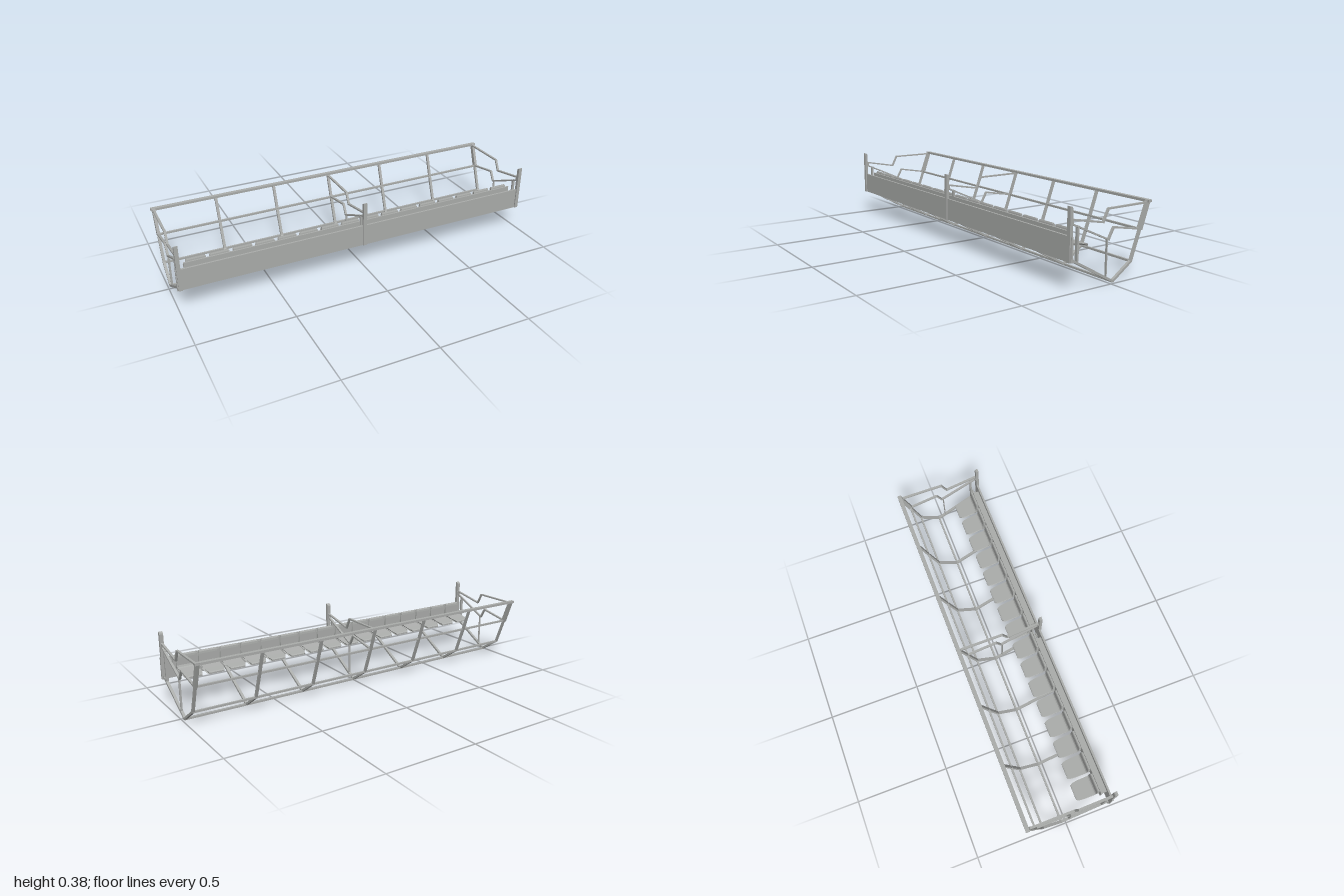
import * as THREE from 'three';

const grey = new THREE.MeshStandardMaterial({ color: 0xabadab });
grey.name = 'painted steel grey';

// Extrude a (z, y) outline along x, centred on x = 0
function slab(outline, width) {
  const shape = new THREE.Shape(outline.map(([z, y]) => new THREE.Vector2(z, y)));
  const geo = new THREE.ExtrudeGeometry(shape, { depth: width, bevelEnabled: false });
  geo.translate(0, 0, -width / 2);
  geo.rotateY(-Math.PI / 2);
  return geo;
}

// Mitred bar following a (z, y) path
function bar(path, thick, width) {
  const pts = path.map(([z, y]) => new THREE.Vector2(z, y));
  const a = [], b = [];
  pts.forEach((p, i) => {
    const d1 = pts[Math.max(i, 1)].clone().sub(pts[Math.max(i, 1) - 1]).normalize();
    const j = Math.min(i + 1, pts.length - 1);
    const d2 = pts[j].clone().sub(pts[j - 1]).normalize();
    const n1 = new THREE.Vector2(-d1.y, d1.x), n2 = new THREE.Vector2(-d2.y, d2.x);
    const m = n1.clone().add(n2).normalize();
    m.multiplyScalar(thick / 2 / m.dot(n1));
    a.push([p.x + m.x, p.y + m.y]);
    b.unshift([p.x - m.x, p.y - m.y]);
  });
  return slab([...a, ...b], width);
}

// Moulded seat: side profile with rounded front and top corners
function seatGeometry() {
  const geo = slab([
    [0.19, 0.2], [0.19, 0.255], [0.189, 0.266], [0.187, 0.272], [0.18, 0.271], [0.177, 0.266],
    [0.176, 0.255], [0.176, 0.215], [0.172, 0.206], [0.165, 0.202], [0.115, 0.192], [0.09, 0.188],
    [0.079, 0.186], [0.073, 0.182], [0.073, 0.174], [0.079, 0.174], [0.09, 0.176], [0.115, 0.181],
    [0.17, 0.192],
  ], 0.102);
  const p = geo.attributes.position;
  for (let i = 0; i < p.count; i++) {
    const y = p.getY(i), z = p.getZ(i);
    const front = Math.max(0, (0.12 - z) / 0.047);
    const top = Math.max(0, (y - 0.25) / 0.022);
    p.setX(i, p.getX(i) * (1 - 0.08 * front - 0.16 * front ** 5 - 0.12 * top ** 3));
  }
  geo.computeVertexNormals();
  return geo;
}

export function createModel() {
  const model = new THREE.Group();
  model.name = 'seatRow';
  const add = (name, geo, x = 0, parent = model) => {
    const mesh = new THREE.Mesh(geo, grey);
    mesh.name = name;
    mesh.position.x = x;
    parent.add(mesh);
    return mesh;
  };
  const box = (name, w, h, d, x, y, z) =>
    add(name, new THREE.BoxGeometry(w, h, d).translate(0, y, z), x);

  // Bent ribs under and behind the seats
  const rib = bar([[0.226, 0.147], [-0.02, 0.01], [-0.131, 0.085], [-0.183, 0.228], [-0.226, 0.352]], 0.011, 0.014);
  [-0.985, -0.656, -0.328, 0, 0.328, 0.656, 0.985].forEach((x) => add('rib', rib, x));

  // Three side frames with posts and guard rails
  const post = slab([
    [0.222, 0.138], [0.245, 0.138], [0.245, 0.385], [0.238, 0.384], [0.232, 0.38], [0.229, 0.373], [0.229, 0.155], [0.222, 0.157],
  ], 0.02);
  const upperGuard = bar([[0.224, 0.303], [0.224, 0.324], [0.047, 0.29], [0.018, 0.347], [-0.218, 0.347]], 0.008, 0.012);
  const lowerGuard = bar([[0.23, 0.307], [0.012, 0.207], [-0.017, 0.259], [-0.182, 0.229]], 0.008, 0.012);
  const backBar = slab([[0.19, 0.137], [0.2, 0.137], [0.2, 0.29], [0.19, 0.295]], 0.014);
  const strut = slab([[0.018, 0.035], [0.023, 0.035], [0.023, 0.21], [0.018, 0.21]], 0.01);
  const endPlate = slab([[-0.17, 0.229], [-0.193, 0.223], [-0.241, 0.36], [-0.219, 0.36]], 0.016);
  for (const x of [-0.985, 0, 0.985]) {
    const frame = new THREE.Group();
    frame.name = 'sideFrame';
    frame.position.x = x;
    model.add(frame);
    add('post', post, 0, frame);
    add('upperGuard', upperGuard, 0, frame);
    add('lowerGuard', lowerGuard, 0, frame);
    add('backBar', backBar, 0, frame);
    add('strut', strut, 0, frame);
    if (x) add('endPlate', endPlate, 0, frame);
  }

  // Long rails
  box('topRail', 2, 0.012, 0.021, 0, 0.354, -0.23);
  box('middleRail', 1.98, 0.01, 0.01, 0, 0.228, -0.182);
  box('lowerRail', 1.98, 0.01, 0.01, 0, 0.085, -0.132);
  box('bottomRail', 1.98, 0.01, 0.01, 0, 0.009, -0.021);

  // Front panel, backing rail and the shelves between them
  box('frontPanel', 2, 0.115, 0.01, 0, 0.1955, 0.234);
  box('backingRail', 1.9, 0.06, 0.008, 0, 0.23, 0.195);
  for (const s of [-1, 1]) box('shelf', 0.9, 0.022, 0.03, s * 0.495, 0.216, 0.215);

  // Sixteen seats
  const seat = seatGeometry();
  for (let i = 0; i < 16; i++) add('seat', seat, (i - 7.5) * 0.118);

  return model;
}
